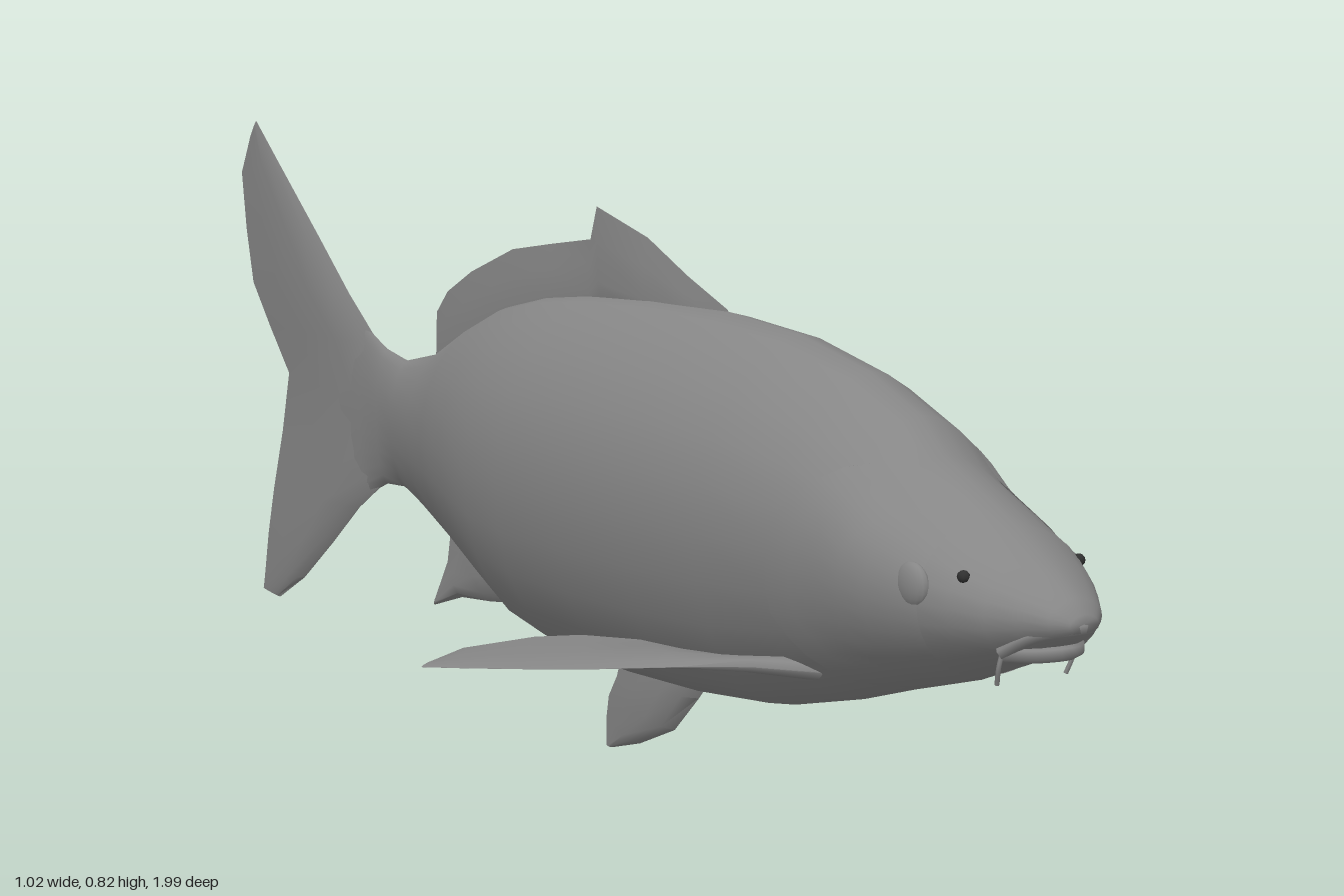
import * as THREE from 'three';
import { toCreasedNormals } from 'three/addons/utils/BufferGeometryUtils.js';

const V = (x, y, z) => new THREE.Vector3(x, y, z);
const SKIN = 0x868686, DARK = 0x303030;

function part(name, geometry, color = SKIN) {
  const mesh = new THREE.Mesh(geometry,
    new THREE.MeshStandardMaterial({ color, side: THREE.DoubleSide }));
  mesh.name = name;
  return mesh;
}

// Skin a row-by-row grid of points; closed rings are capped and turned outward.
function loft(rows, closed = true) {
  const n = rows[0].length, pts = rows.flat(), index = [];
  for (let i = 0; i < rows.length - 1; i++) {
    for (let j = 0; j < (closed ? n : n - 1); j++) {
      const k = (j + 1) % n, a = i * n + j, b = i * n + k, c = a + n, d = b + n;
      index.push(a, c, b, b, c, d);
    }
  }
  if (closed) {
    for (const first of [true, false]) {
      const row = first ? rows[0] : rows[rows.length - 1];
      const start = first ? 0 : (rows.length - 1) * n;
      const centre = row.reduce((s, p) => s.add(p), V(0, 0, 0)).divideScalar(n);
      pts.push(centre);
      for (let j = 0; j < n; j++) {
        const a = start + j, b = start + (j + 1) % n;
        index.push(...(first ? [pts.length - 1, a, b] : [pts.length - 1, b, a]));
      }
    }
    let volume = 0;
    for (let i = 0; i < index.length; i += 3) {
      volume += pts[index[i]].dot(V(0, 0, 0).crossVectors(pts[index[i + 1]], pts[index[i + 2]]));
    }
    if (volume < 0) index.reverse();
  }
  const g = new THREE.BufferGeometry().setFromPoints(pts);
  g.setIndex(index);
  g.computeVertexNormals();
  return g;
}

// Value of a table of [key, value...] rows at a key, keys descending.
function lookup(table, key) {
  let i = 0;
  while (i < table.length - 2 && key < table[i + 1][0]) i++;
  const a = table[i], b = table[i + 1];
  const t = THREE.MathUtils.clamp((key - a[0]) / (b[0] - a[0]), 0, 1);
  return a.slice(1).map((v, j) => THREE.MathUtils.lerp(v, b[j + 1], t));
}

// Body stations: z, top, bottom, half width. The last ones thin out inside the tail fin.
const STATIONS = [
  [0.995, 0.36, 0.338, 0.022], [0.98, 0.378, 0.325, 0.042], [0.95, 0.4, 0.308, 0.066],
  [0.92, 0.42, 0.292, 0.088], [0.88, 0.445, 0.275, 0.11], [0.82, 0.475, 0.25, 0.125],
  [0.745, 0.512, 0.228, 0.138], [0.7, 0.555, 0.215, 0.145], [0.6, 0.598, 0.183, 0.158],
  [0.46, 0.63, 0.148, 0.166], [0.31, 0.643, 0.134, 0.17], [0.15, 0.645, 0.13, 0.169],
  [0, 0.637, 0.134, 0.162], [-0.1, 0.625, 0.152, 0.149], [-0.2, 0.602, 0.195, 0.127],
  [-0.3, 0.56, 0.236, 0.096], [-0.4, 0.51, 0.27, 0.06], [-0.49, 0.49, 0.297, 0.032],
  [-0.55, 0.502, 0.294, 0.02], [-0.61, 0.53, 0.268, 0.014], [-0.69, 0.57, 0.215, 0.009],
  [-0.76, 0.58, 0.22, 0.002],
];

// A point on the body; the section narrows towards the back ridge.
function skin(z, angle, lift = 0) {
  const [top, bottom, w] = lookup(STATIONS, z);
  const s = Math.sin(angle);
  const pinch = 1 - 0.25 * Math.max(0, s) ** 3;
  return V((w + lift) * Math.cos(angle) * pinch,
    (top + bottom) / 2 + ((top - bottom) / 2 + lift) * s, z);
}

function bodyGeometry() {
  return loft(STATIONS.map(([z]) =>
    Array.from({ length: 24 }, (_, j) => skin(z, j / 24 * Math.PI * 2))));
}

// Fin from rows [lead u, lead v, trail u, trail v, half thickness]; place maps (u, v, w) to space.
const ACROSS = [[0, 0.03], [0.12, 0.75], [0.35, 1], [0.7, 0.55], [1, 0.03]];
function finGeometry(rows, place) {
  const rings = rows.map(([u0, v0, u1, v1, h]) => {
    const at = (t, w) => place(u0 + (u1 - u0) * t, v0 + (v1 - v0) * t, w * h);
    return [...ACROSS.map(([t, w]) => at(t, w)),
      ...[...ACROSS].reverse().map(([t, w]) => at(t, -w))];
  });
  return toCreasedNormals(loft(rings), 0.9);
}
const upright = (z, y, x) => V(x, y, z);

const DORSAL = [
  [0.32, 0.6, 0.31, 0.645, 0.003], [0.22, 0.6, 0.22, 0.682, 0.009], [0.13, 0.6, 0.13, 0.725, 0.012],
  [0.04, 0.6, 0.01, 0.758, 0.012], [0.01, 0.6, -0.005, 0.712, 0.011], [-0.1, 0.58, -0.1, 0.698, 0.01],
  [-0.2, 0.55, -0.2, 0.682, 0.01], [-0.31, 0.51, -0.31, 0.64, 0.008], [-0.37, 0.48, -0.375, 0.605, 0.006],
  [-0.4, 0.47, -0.405, 0.572, 0.004],
];
const TAIL = [
  [-0.945, 0.825, -0.965, 0.8, 0.001], [-0.88, 0.768, -0.995, 0.74, 0.005],
  [-0.75, 0.655, -0.982, 0.65, 0.01], [-0.66, 0.575, -0.962, 0.565, 0.012],
  [-0.57, 0.505, -0.91, 0.5, 0.012], [-0.5, 0.4, -0.85, 0.43, 0.012],
  [-0.56, 0.293, -0.873, 0.335, 0.012], [-0.635, 0.245, -0.905, 0.235, 0.013],
  [-0.72, 0.175, -0.925, 0.16, 0.012], [-0.81, 0.105, -0.94, 0.085, 0.008],
  [-0.89, 0.06, -0.945, 0.065, 0.002],
];
const PELVIC = [
  [0.3, 0.17, 0.08, 0.17, 0.012], [0.25, 0.115, 0.06, 0.11, 0.018], [0.195, 0.06, 0.04, 0.078, 0.013],
  [0.115, 0.025, 0.034, 0.045, 0.009], [0.05, 0.006, 0.034, 0.006, 0.003],
];
const ANAL = [
  [-0.1, 0.2, -0.25, 0.3, 0.018], [-0.19, 0.17, -0.34, 0.27, 0.015], [-0.26, 0.16, -0.37, 0.25, 0.011],
  [-0.34, 0.153, -0.38, 0.2, 0.008], [-0.418, 0.128, -0.414, 0.142, 0.002],
];
// Pectoral rows run outward in x and z
const PECTORAL = [
  [0.09, 0.63, 0.09, 0.54, 0.014], [0.165, 0.587, 0.168, 0.51, 0.01], [0.25, 0.55, 0.2, 0.395, 0.008],
  [0.35, 0.495, 0.245, 0.33, 0.007], [0.42, 0.445, 0.3, 0.305, 0.005], [0.47, 0.405, 0.41, 0.308, 0.004],
  [0.51, 0.37, 0.462, 0.338, 0.002],
];

// Gill cover: a skin patch that rises towards its curved rear edge, then drops back.
const GILL_EDGE = [[0.85, 0.71], [0.55, 0.665], [0.2, 0.61], [-0.35, 0.6], [-0.7, 0.64], [-1.3, 0.73]];
function gillGeometry(side) {
  const rows = [];
  for (let i = 0; i <= 14; i++) {
    const angle = 0.85 - i / 14 * 2.15;
    const edge = lookup(GILL_EDGE, angle)[0];
    const fade = Math.min(1, Math.sin(i / 14 * Math.PI) * 2);
    const row = [];
    for (let j = 0; j <= 6; j++) {
      const t = j / 6;
      row.push(skin(0.84 + (edge - 0.84) * t, angle, 0.001 + 0.006 * t * fade));
    }
    row.push(skin(edge - 0.004, angle, -0.004));
    rows.push(row.map(p => V(p.x * side, p.y, p.z)));
  }
  return toCreasedNormals(loft(rows, false), 0.8);
}

const tube = (points, radius) =>
  new THREE.TubeGeometry(new THREE.CatmullRomCurve3(points), 16, radius, 6);

// Lip from its corner, side and middle points, mirrored across the snout.
const lip = (corner, edge, middle, radius) => {
  const flip = p => V(-p.x, p.y, p.z);
  return tube([flip(corner), flip(edge), middle, edge, corner], radius);
};

export function createModel() {
  const fish = new THREE.Group();
  fish.name = 'fish';
  fish.add(
    part('body', bodyGeometry()),
    part('dorsalFin', finGeometry(DORSAL, upright)),
    part('tailFin', finGeometry(TAIL, upright)),
    part('pelvicFin', finGeometry(PELVIC, upright)),
    part('analFin', finGeometry(ANAL, upright)),
    part('upperLip', lip(V(0.06, 0.31, 0.92), V(0.042, 0.334, 0.957), V(0, 0.343, 0.988), 0.01)),
    part('lowerLip', lip(V(0.055, 0.308, 0.92), V(0.032, 0.309, 0.948), V(0, 0.312, 0.968), 0.011)),
  );

  // Paired parts
  for (const [side, label] of [[1, 'left'], [-1, 'right']]) {
    const fin = finGeometry(PECTORAL, (x, z, w) =>
      V(side * x, 0.247 - 0.012 * Math.max(0, (0.2 - x) / 0.1) + w, z));
    const eye = part(label + 'Eye', new THREE.SphereGeometry(0.028, 16, 12));
    eye.position.set(side * 0.115, 0.38, 0.825);
    eye.scale.x = 0.45;
    const nostril = part(label + 'Nostril', new THREE.SphereGeometry(0.008, 8, 6), DARK);
    nostril.position.set(side * 0.09, 0.397, 0.887);
    const barbel = part(label + 'Barbel', tube([V(side * 0.055, 0.31, 0.918),
      V(side * 0.058, 0.29, 0.915), V(side * 0.054, 0.268, 0.908)], 0.003));
    fish.add(part(label + 'PectoralFin', fin), part(label + 'GillCover', gillGeometry(side)),
      eye, nostril, barbel);
  }
  return fish;
}
